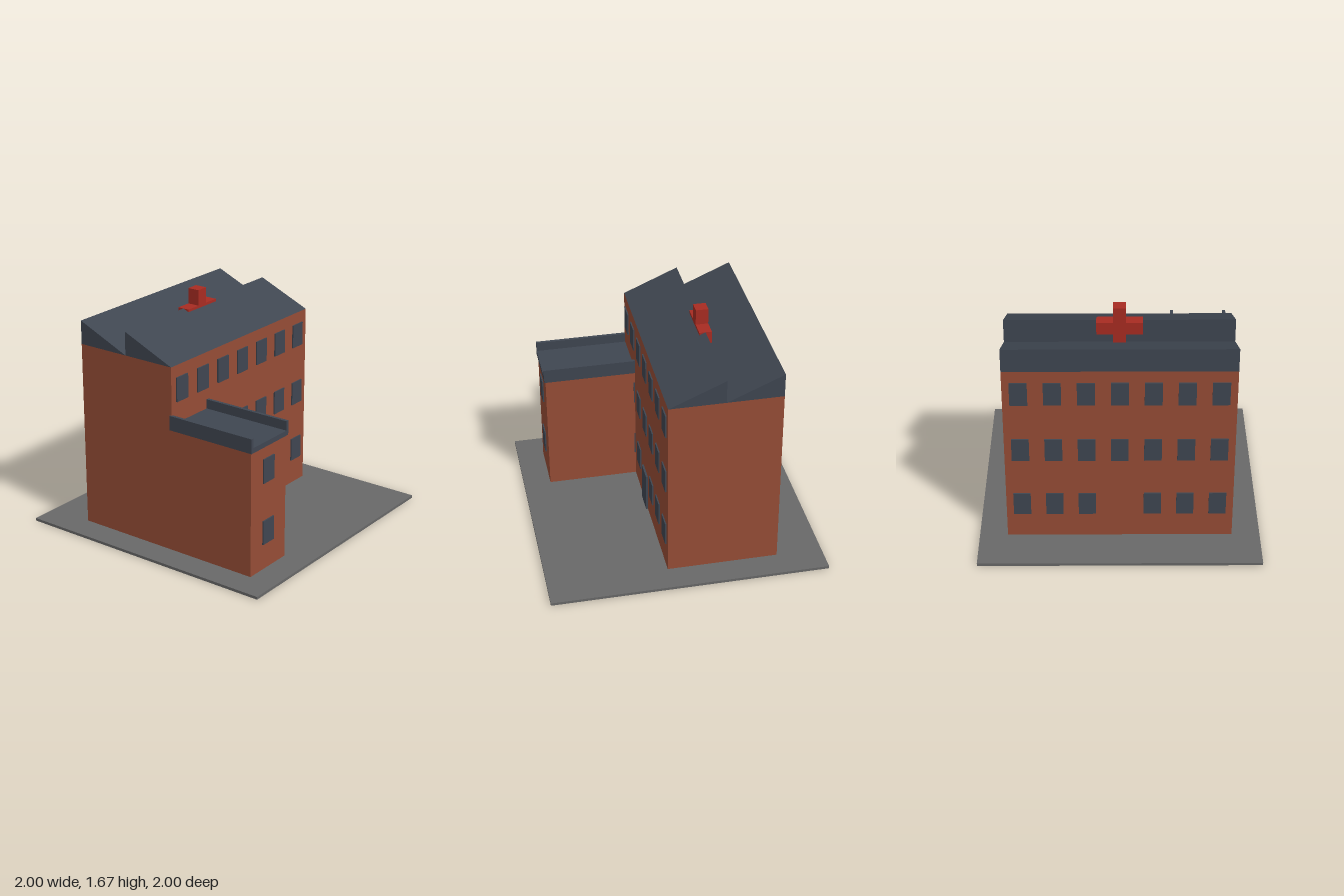
import * as THREE from 'three';

const mat = (name, color) => {
  const m = new THREE.MeshStandardMaterial({ color });
  m.name = name;
  return m;
};

export function createModel() {
  const group = new THREE.Group();
  const brick = mat('brick', 0x964d36);
  const slate = mat('slate', 0x3f4651);
  const paving = mat('paving', 0x686868);
  const red = mat('red', 0xa82c22);

  // Box given by its lower and upper limits on each axis
  const box = (name, material, [x0, x1], [y0, y1], [z0, z1]) => {
    const mesh = new THREE.Mesh(new THREE.BoxGeometry(x1 - x0, y1 - y0, z1 - z0), material);
    mesh.position.set((x0 + x1) / 2, (y0 + y1) / 2, (z0 + z1) / 2);
    mesh.name = name;
    group.add(mesh);
  };

  // Shape drawn in (z, y), extruded along x and centred on cx
  const extrudeX = (name, material, points, width) => {
    const shape = new THREE.Shape(points.map(([z, y]) => new THREE.Vector2(z, y)));
    const geo = new THREE.ExtrudeGeometry(shape, { depth: width, bevelEnabled: false });
    geo.translate(0, 0, -width / 2).rotateY(-Math.PI / 2);
    const mesh = new THREE.Mesh(geo, material);
    mesh.name = name;
    group.add(mesh);
  };

  const front = 0.133, back = -0.667, ridge = -0.267;
  const eave = 1.383, peak = 1.555;

  // Ground slab and brick volumes
  box('ground', paving, [-1, 1], [0, 0.02], [-1, 1]);
  box('mainBlock', brick, [-0.8, 0.8], [0.02, eave], [back, front]);
  box('wing', brick, [-0.8, -0.4], [0.02, 0.93], [front, 0.8]);

  // Two-tooth sawtooth roof
  extrudeX('sawtoothRoof', slate,
    [[front, eave], [ridge, peak], [ridge, eave], [back, peak], [back, eave]], 1.6);

  // Wing roof slab with a raised rail along each side
  box('wingRoof', slate, [-0.81, -0.39], [0.93, 0.967], [0.12, 0.81]);
  box('wingRailRight', slate, [-0.81, -0.787], [0.967, 1.035], [0.12, 0.81]);
  box('wingRailLeft', slate, [-0.413, -0.39], [0.967, 1.035], [0.12, 0.81]);

  // Windows: thin plates on the front, back and wing
  const rows = [0.298, 0.753, 1.208];
  const window = (x, y, z, side) => box('window', slate,
    [x - 0.061, x + 0.061], [y - 0.088, y + 0.088],
    side > 0 ? [z, z + 0.0095] : [z - 0.0095, z]);
  rows.forEach((y, row) => {
    for (let i = -3; i <= 3; i++) {
      const x = i * 0.2295;
      const doorway = row === 0 && i === 0;
      const behindWing = row < 2 && i === -3;
      if (!doorway) window(x, y, back, -1);
      if (!doorway && !behindWing) window(x, y, front, 1);
    }
    if (row < 2) window(-0.605, y, 0.8, 1);
  });

  // Front door
  box('door', slate, [-0.08, 0.08], [0.02, 0.315], [front, 0.147]);

  // Rooftop cross: one upright and two arms
  const crossZ = [-0.312, -0.222];
  box('crossUpright', red, [-0.045, 0.045], [1.385, 1.67], crossZ);
  box('crossArmRight', red, [-0.16, -0.045], [1.465, 1.555], crossZ);
  box('crossArmLeft', red, [0.045, 0.16], [1.465, 1.555], crossZ);

  return group;
}
